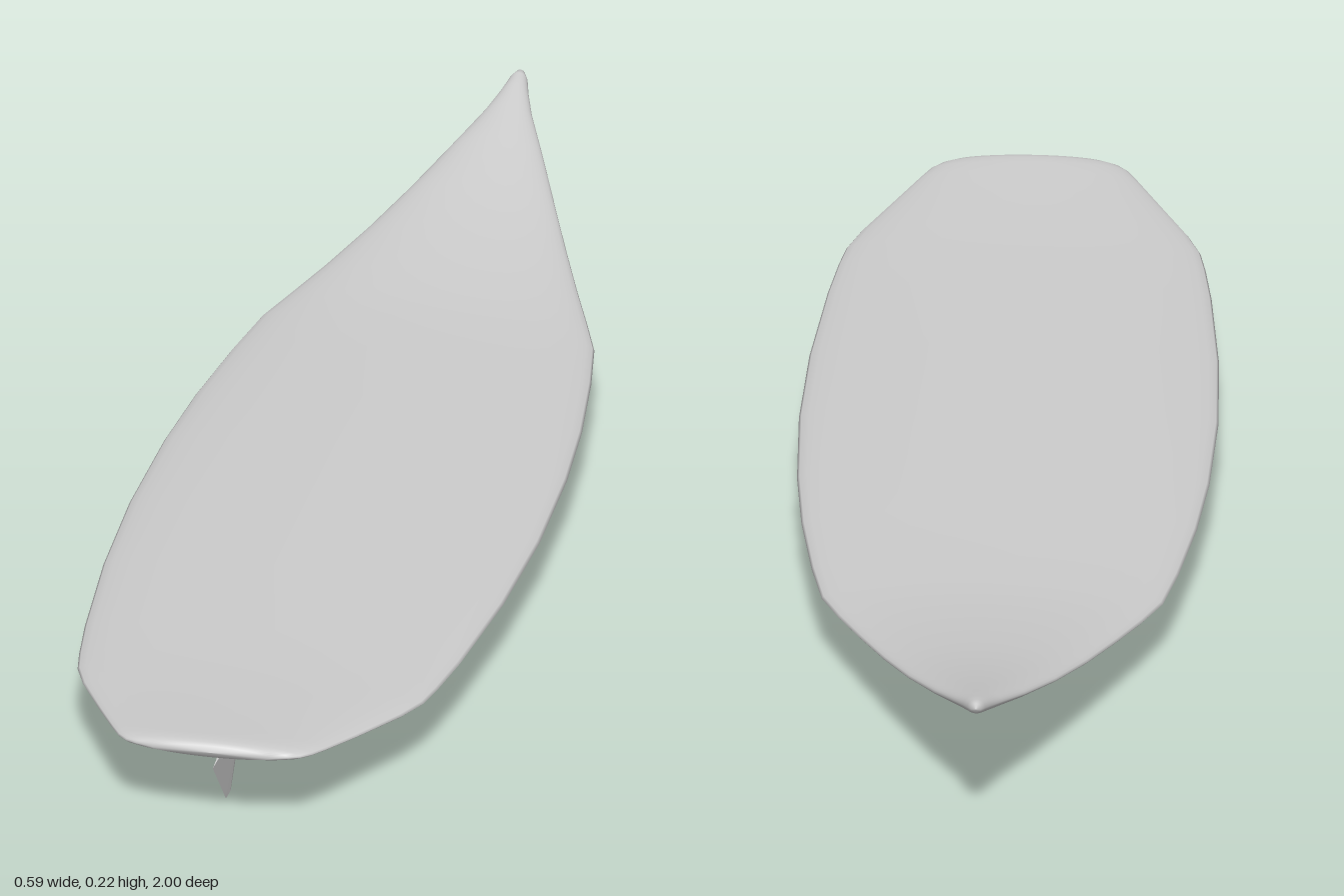
import * as THREE from 'three';
import { ConvexGeometry } from 'three/addons/geometries/ConvexGeometry.js';

const material = new THREE.MeshStandardMaterial({ color: 0xcccccc, side: THREE.DoubleSide });

// Board stations from nose to tail: z, half width, bottom y, deck y
const stations = [
  [-1, 0, 0.213, 0.213], [-0.997, 0.007, 0.206, 0.221], [-0.985, 0.013, 0.2, 0.222],
  [-0.96, 0.02, 0.19, 0.216], [-0.92, 0.034, 0.176, 0.205], [-0.85, 0.064, 0.155, 0.186],
  [-0.75, 0.104, 0.129, 0.162], [-0.65, 0.143, 0.108, 0.145], [-0.55, 0.182, 0.093, 0.133],
  [-0.47, 0.214, 0.084, 0.126], [-0.4, 0.24, 0.079, 0.122], [-0.3, 0.258, 0.076, 0.121],
  [-0.15, 0.278, 0.074, 0.121], [0, 0.29, 0.073, 0.121], [0.2, 0.295, 0.073, 0.121],
  [0.4, 0.288, 0.075, 0.121], [0.6, 0.27, 0.08, 0.121], [0.69, 0.258, 0.083, 0.122],
  [0.74, 0.249, 0.085, 0.123], [0.79, 0.23, 0.089, 0.125], [0.88, 0.185, 0.098, 0.129],
  [0.94, 0.154, 0.105, 0.133], [0.965, 0.14, 0.108, 0.135], [0.98, 0.126, 0.11, 0.135],
  [0.988, 0.11, 0.112, 0.134], [0.994, 0.085, 0.114, 0.131], [0.997, 0, 0.122, 0.122],
];

// Loft lens-shaped sections, each with a shallow belly and a fuller deck
function loftBoard() {
  const sides = 40, positions = [], index = [];
  for (const [z, halfWidth, bottom, top] of stations) {
    const rail = bottom + 0.42 * (top - bottom);
    for (let j = 0; j < sides; j++) {
      const a = (j / sides) * Math.PI * 2, s = Math.sin(a);
      positions.push(halfWidth * Math.cos(a), rail + s * (s > 0 ? top - rail : rail - bottom), z);
    }
  }
  for (let i = 0; i < stations.length - 1; i++) {
    for (let j = 0; j < sides; j++) {
      const k = (j + 1) % sides;
      const a = i * sides + j, b = i * sides + k, c = a + sides, d = b + sides;
      index.push(a, b, c, b, d, c);
    }
  }
  const geometry = new THREE.BufferGeometry();
  geometry.setAttribute('position', new THREE.Float32BufferAttribute(positions, 3));
  geometry.setIndex(index);
  geometry.computeVertexNormals();
  return geometry;
}

// Faceted fin: a foil at the root narrowing to a thin tip edge
function makeFin(name, x, root, tip, thickness) {
  const points = [];
  for (const [y, lead, trail, half] of [[...root, thickness / 2], [...tip, thickness / 14]]) {
    const thickest = lead + 0.28 * (trail - lead);
    points.push(new THREE.Vector3(0, y, lead), new THREE.Vector3(0, y, trail));
    for (const side of [-1, 1]) points.push(new THREE.Vector3(side * half, y, thickest));
  }
  const fin = new THREE.Mesh(new ConvexGeometry(points), material);
  fin.name = name;
  fin.position.x = x;
  return fin;
}

export function createModel() {
  const model = new THREE.Group();
  model.name = 'surfboard';

  const board = new THREE.Mesh(loftBoard(), material);
  board.name = 'board';
  model.add(board);

  // Three fins: y, leading z and trailing z at the root and at the tip
  model.add(makeFin('centreFin', 0, [0.091, 0.785, 0.983], [0.002, 0.866, 0.898], 0.013));
  for (const side of [-1, 1]) {
    model.add(makeFin(side > 0 ? 'leftFin' : 'rightFin', side * 0.09,
      [0.087, 0.635, 0.77], [0.026, 0.683, 0.71], 0.011));
  }
  return model;
}
